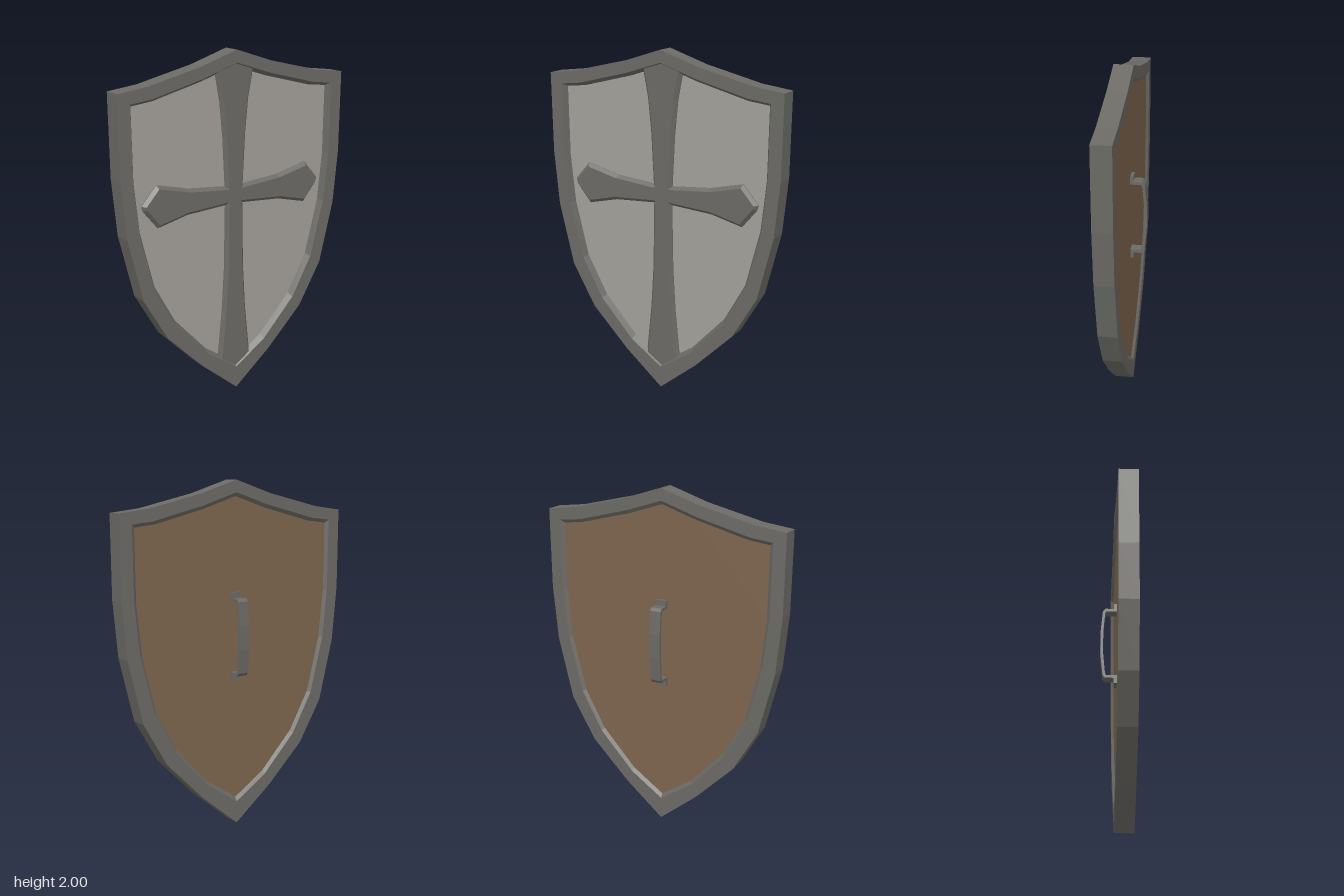
import * as THREE from 'three';

const BACK = -0.015, FRONT = 0.095;          // rim depth
const PANEL_BACK = 0.0, PANEL_FRONT = 0.06;  // recessed panel depth

// Right half of each outline, from top centre to bottom centre
const OUTER = [[0, 2], [0.23, 1.925], [0.56, 1.847], [0.735, 1.825], [0.73, 1.36], [0.7, 1.04],
  [0.61, 0.675], [0.465, 0.425], [0.235, 0.195], [0, 0]];
const INNER = [[0, 1.93], [0.215, 1.86], [0.53, 1.78], [0.66, 1.765], [0.655, 1.35], [0.625, 1.06],
  [0.54, 0.725], [0.41, 0.49], [0.2, 0.265], [0, 0.13]];
const CROSS = [[0, 1.95], [0.13, 1.91], [0.095, 1.73], [0.075, 1.53], [0.06, 1.24], [0.3, 1.262],
  [0.5, 1.31], [0.593, 1.205], [0.585, 1.175], [0.497, 1.068], [0.31, 1.113], [0.058, 1.13],
  [0.065, 0.75], [0.08, 0.5], [0.115, 0.16], [0, 0.09]];

// Mirror a half outline to the other side of x = 0
const mirrorX = half => [...half, ...half.slice(1, -1).reverse().map(([x, y]) => [-x, y])];
const toShape = pts => new THREE.Shape(pts.map(([x, y]) => new THREE.Vector2(x, y)));

// Angular loft: sweeps a closed section of [outline, z] pairs around the outlines
function loftRing(section) {
  const pos = [], n = section[0][0].length, m = section.length;
  const point = (i, j) => {
    const [outline, z] = section[j % m];
    return [...outline[i % n], z];
  };
  for (let i = 0; i < n; i++) for (let j = 0; j < m; j++) {
    const a = point(i, j), b = point(i, j + 1), c = point(i + 1, j), d = point(i + 1, j + 1);
    pos.push(...a, ...b, ...c, ...b, ...d, ...c);
  }
  const geo = new THREE.BufferGeometry();
  geo.setAttribute('position', new THREE.Float32BufferAttribute(pos, 3));
  geo.computeVertexNormals();
  return geo;
}

export function createModel() {
  const group = new THREE.Group();
  group.name = 'shield';
  const material = (name, color) => {
    const m = new THREE.MeshStandardMaterial({ color });
    m.name = name;
    return m;
  };
  const darkSteel = material('dark steel', 0x6b6a65);
  const paleSteel = material('pale steel', 0xa3a09a);
  const wood = material('brown wood', 0x7d654e);
  const add = (name, geo, mat) => {
    const mesh = new THREE.Mesh(geo, mat);
    mesh.name = name;
    group.add(mesh);
    return mesh;
  };

  // Rim with chamfered inner walls
  const outer = mirrorX(OUTER), inner = mirrorX(INNER);
  const lip = inner.map(([x, y]) => [x * 0.97, 1.1 + (y - 1.1) * 0.975]);
  add('rim', loftRing([[outer, BACK], [outer, FRONT], [inner, FRONT],
    [lip, PANEL_FRONT], [lip, PANEL_BACK], [inner, BACK]]), darkSteel);

  // Steel face over a wooden backing
  const mid = (PANEL_BACK + PANEL_FRONT) / 2;
  const slab = () => new THREE.ExtrudeGeometry(toShape(lip), { depth: mid - PANEL_BACK, bevelEnabled: false });
  add('frontPanel', slab(), paleSteel).position.z = mid;
  add('backPanel', slab(), wood).position.z = PANEL_BACK;

  // Raised cross with bevelled edges; its upright runs into the rim
  add('cross', new THREE.ExtrudeGeometry(toShape(mirrorX(CROSS)), {
    depth: 0.01, bevelThickness: 0.02, bevelSize: 0.018, bevelOffset: -0.018, bevelSegments: 1,
  }), darkSteel).position.z = 0.055;

  // Bent strap handle: half profile as [z, height from the middle], mirrored vertically
  const outside = [[-0.018, 0.255], [-0.018, 0.222], [-0.068, 0.222], [-0.082, 0.205], [-0.095, 0.07]];
  const inside = [[-0.079, 0.07], [-0.068, 0.195], [-0.06, 0.205], [0.002, 0.205], [0.002, 0.255]];
  const flip = pts => pts.map(([z, y]) => [z, -y]).reverse();
  const strap = [...outside, ...flip(outside), ...flip(inside), ...inside];
  const handleGeo = new THREE.ExtrudeGeometry(toShape(strap), { depth: 0.066, bevelEnabled: false });
  handleGeo.translate(0, 0, -0.033).rotateY(-Math.PI / 2);
  add('handle', handleGeo, darkSteel).position.y = 1.115;

  return group;
}
